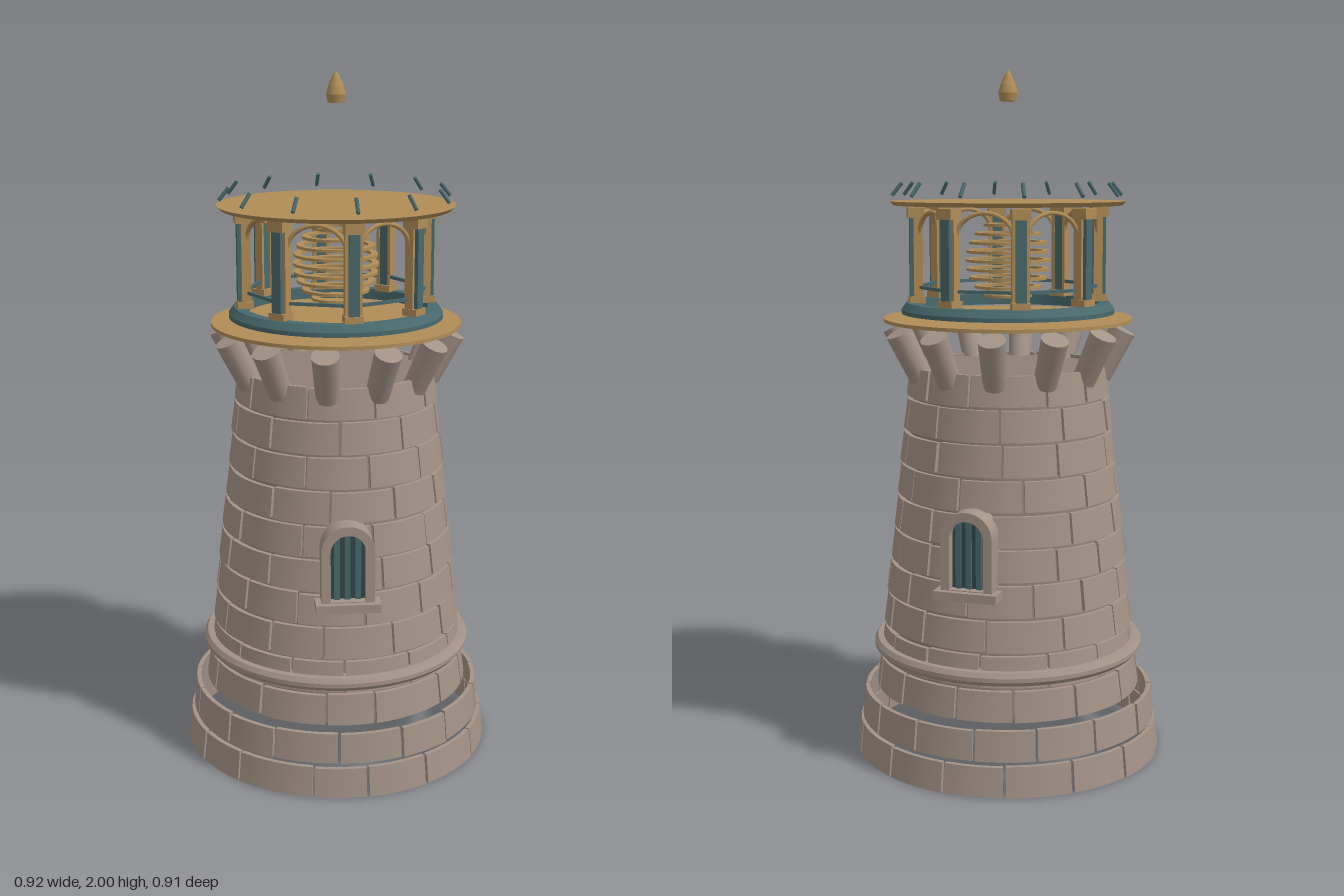
import * as THREE from 'three';
import { mergeGeometries } from 'three/addons/utils/BufferGeometryUtils.js';

const mat = (name, color) => Object.assign(new THREE.MeshStandardMaterial({ color }), { name });

export function createModel() {
  const root = new THREE.Group();
  root.name = 'lighthouse';
  const stone = mat('stone', 0xa39387);
  const mortar = mat('mortar', 0x8f8076);
  const brass = mat('brass', 0xb08d57);
  const teal = mat('teal iron', 0x48696c);
  const glass = mat('dark glass', 0x35464a);

  const add = (parent, name, geometry, material, x = 0, y = 0, z = 0) => {
    const mesh = new THREE.Mesh(geometry, material);
    mesh.name = name;
    mesh.position.set(x, y, z);
    parent.add(mesh);
    return mesh;
  };
  // group turned so that its local +z points away from the axis
  const spoke = (name, angle, parent = root) => {
    const g = new THREE.Group();
    g.name = name;
    g.rotation.y = angle;
    parent.add(g);
    return g;
  };
  // sharp-edged solid of revolution: every profile segment is its own band
  const turned = (profile, sides = 64) => mergeGeometries(profile.slice(1).map((p, i) =>
    new THREE.LatheGeometry([profile[i], p].map(([r, y]) => new THREE.Vector2(r, y)), sides)));
  const disc = (r0, r1, y, h) => new THREE.CylinderGeometry(r1, r0, h, 64).translate(0, y, 0);

  let seed = 7;
  const rand = () => (seed = (seed * 16807) % 2147483647) / 2147483647;

  // a box bent round the axis into one curved stone
  const curvedStone = (a0, a1, y0, y1, r0, r1, depth) => {
    const g = new THREE.BoxGeometry(1, 1, 1, 6, 1, 1);
    const p = g.attributes.position;
    for (let i = 0; i < p.count; i++) {
      const a = THREE.MathUtils.lerp(a0, a1, p.getX(i) + 0.5);
      const t = p.getY(i) + 0.5;
      const r = THREE.MathUtils.lerp(r0, r1, t) - (0.5 - p.getZ(i)) * depth;
      p.setXYZ(i, Math.sin(a) * r, THREE.MathUtils.lerp(y0, y1, t), Math.cos(a) * r);
    }
    g.computeVertexNormals();
    return g;
  };

  // masonry: twelve courses, the lowest two standing clear of the core
  const tower = new THREE.Group();
  tower.name = 'tower';
  root.add(tower);
  const wall = (y) => 0.39 - (y - 0.2) * 0.109;
  const rowH = 0.097;
  for (let row = 0; row < 12; row++) {
    const y0 = row * rowH + 0.004, y1 = (row + 1) * rowH - 0.003;
    const [r0, r1] = row === 0 ? [0.456, 0.446] : row === 1 ? [0.439, 0.43] : [wall(y0) + 0.002, wall(y1)];
    const count = Math.round((2 * Math.PI * r0) / 0.19);
    const step = (2 * Math.PI) / count;
    const joints = Array.from({ length: count }, (_, i) => (i + (row % 2) / 2 + (rand() - 0.5) * 0.28) * step);
    const gap = 0.004 / r0;
    const stones = joints.map((a, i) => {
      const end = i + 1 < count ? joints[i + 1] : joints[0] + 2 * Math.PI;
      const j = (rand() - 0.5) * 0.005;
      return curvedStone(a + gap, end - gap, y0 + rand() * 0.003, y1 - rand() * 0.004, r0 + j, r1 + j, 0.013);
    });
    add(tower, 'stoneCourse', mergeGeometries(stones), stone);
  }
  add(tower, 'core', new THREE.CylinderGeometry(wall(1.15) - 0.015, wall(0.2) - 0.015, 0.95, 64), mortar, 0, 0.675, 0);
  add(tower, 'stringCourse', turned([
    [0.36, 0.305], [0.39, 0.305], [0.401, 0.318], [0.401, 0.33], [0.392, 0.343], [0.36, 0.346],
  ]), stone);

  // corbels leaning outward under the gallery
  for (let i = 0; i < 12; i++) {
    const g = spoke('corbel', (i * Math.PI) / 6);
    const c = add(g, 'corbelStone', new THREE.CylinderGeometry(0.039, 0.034, 0.15, 20), stone, 0, 1.195, 0.302);
    c.rotation.x = 0.46;
  }

  // round-headed windows
  const archPath = (path, half, y0, spring) => {
    path.moveTo(-half, y0);
    path.lineTo(half, y0);
    path.lineTo(half, spring);
    path.absarc(0, spring, half, 0, Math.PI, false);
    path.lineTo(-half, y0);
    return path;
  };
  const frameShape = archPath(new THREE.Shape(), 0.075, 0.565, 0.718);
  frameShape.holes.push(archPath(new THREE.Path(), 0.049, 0.572, 0.718));
  const paneShape = archPath(new THREE.Shape(), 0.05, 0.57, 0.718);
  for (const degrees of [40, 200]) {
    const g = spoke('window', THREE.MathUtils.degToRad(degrees));
    add(g, 'windowFrame', new THREE.ExtrudeGeometry(frameShape, { depth: 0.09, bevelEnabled: false, curveSegments: 16 }),
      stone, 0, 0, 0.295);
    add(g, 'windowSill', new THREE.BoxGeometry(0.182, 0.025, 0.1), stone, 0, 0.557, 0.353);
    add(g, 'windowPane', new THREE.ShapeGeometry(paneShape, 16), glass, 0, 0, 0.357);
    for (const x of [-0.03, 0, 0.03]) {
      const h = x ? 0.185 : 0.195;
      add(g, 'windowBar', new THREE.BoxGeometry(0.016, h, 0.008), teal, x, 0.57 + h / 2, 0.361);
    }
  }

  // gallery deck and lantern base
  add(root, 'galleryDeck', disc(0.362, 0.362, 1.29, 0.01), brass);
  add(root, 'lanternBase', turned([
    [0.265, 1.308], [0.31, 1.308], [0.31, 1.32], [0.295, 1.34], [0.265, 1.34], [0.265, 1.308],
  ]), teal);

  // lantern posts, arches and rails
  const postR = 0.265, chord = 2 * postR * Math.sin(Math.PI / 8), apothem = postR * Math.cos(Math.PI / 8);
  for (let i = 0; i < 8; i++) {
    const post = spoke('lanternPost', (i * Math.PI) / 4);
    add(post, 'postShaft', new THREE.BoxGeometry(0.03, 0.27, 0.034), teal, 0, 1.475, postR + 0.004);
    for (const s of [-1, 1]) {
      add(post, 'postTrim', new THREE.BoxGeometry(0.009, 0.27, 0.026), brass, s * 0.0195, 1.475, postR - 0.003);
    }
    add(post, 'postFoot', new THREE.BoxGeometry(0.052, 0.02, 0.046), brass, 0, 1.349, postR);
    add(post, 'postCapital', new THREE.BoxGeometry(0.052, 0.03, 0.048), brass, 0, 1.598, postR + 0.002);

    const bay = spoke('lanternBay', ((i + 0.5) * Math.PI) / 4);
    const arch = add(bay, 'bayArch', new THREE.TorusGeometry(0.083, 0.007, 8, 24, Math.PI), brass, 0, 1.53, apothem);
    arch.scale.y = 0.86;
    add(bay, 'bayRail', new THREE.BoxGeometry(chord, 0.009, 0.009), teal, 0, 1.385, apothem);
  }

  // lens of stacked rings
  for (let i = 0; i < 9; i++) {
    const dy = (i - 4) * 0.0255;
    const r = Math.sqrt(0.124 ** 2 - dy ** 2);
    const ring = [[r - 0.02, -0.004], [r, -0.004], [r, 0.004], [r - 0.02, 0.004], [r - 0.02, -0.004]];
    add(root, 'lensRing', turned(ring, 40), brass, 0, 1.46 + dy, 0);
  }

  // roof plate with small rods round its rim
  add(root, 'roofPlate', disc(0.33, 0.342, 1.624, 0.012), brass);
  for (let i = 0; i < 12; i++) {
    const g = spoke('roofRod', ((i + 0.5) * Math.PI) / 6);
    const rod = add(g, 'rod', new THREE.CylinderGeometry(0.0055, 0.0055, 0.046, 10), teal, 0, 1.664, 0.32);
    rod.rotation.x = -0.68;
  }

  // finial
  add(root, 'finial', turned([
    [0, 1.912], [0.023, 1.912], [0.028, 1.935], [0.022, 1.957], [0.01, 1.985], [0, 2],
  ], 24), brass);

  return root;
}
